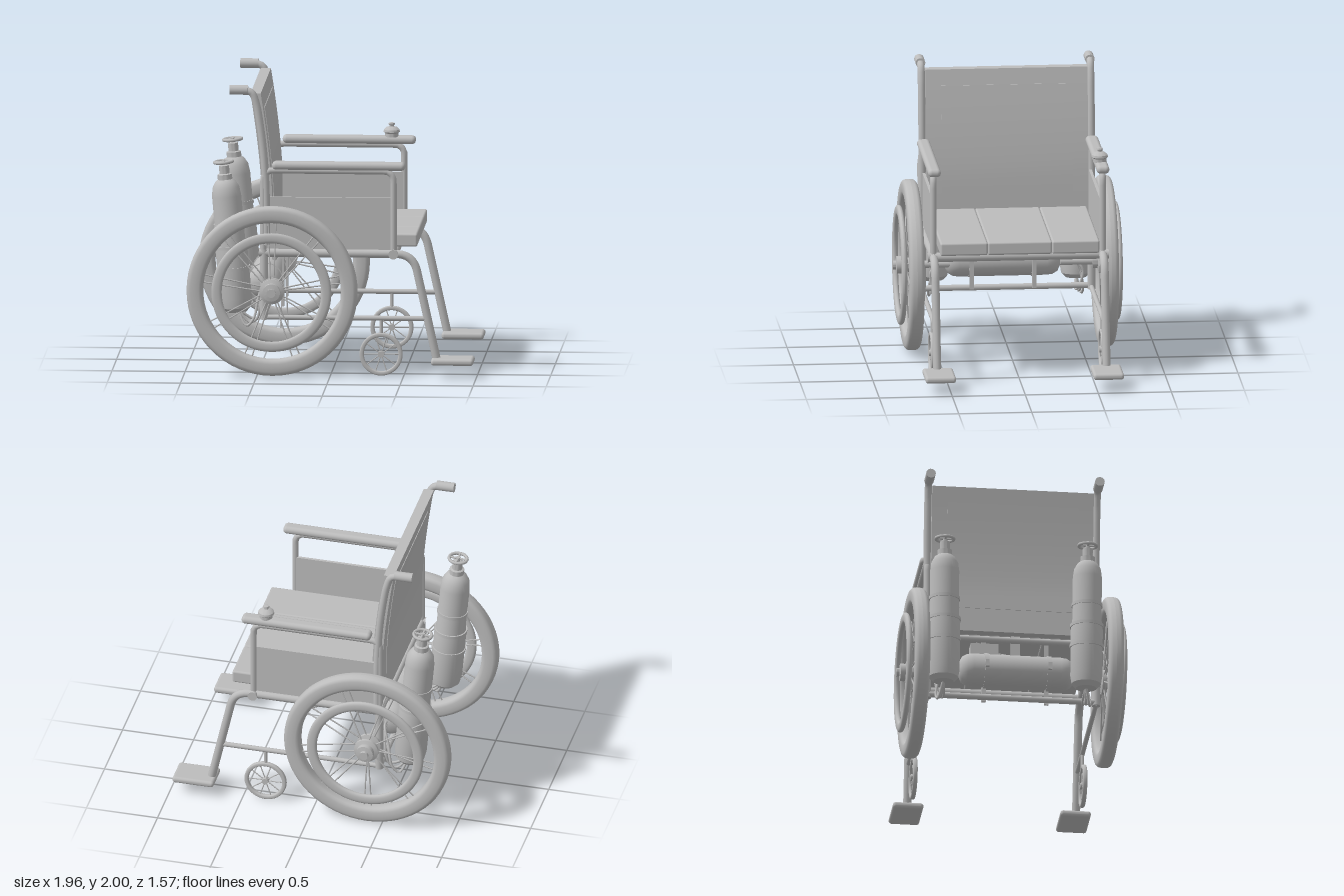
import * as THREE from 'three';
import { toCreasedNormals } from 'three/addons/utils/BufferGeometryUtils.js';
import { RoundedBoxGeometry } from 'three/addons/geometries/RoundedBoxGeometry.js';

const grey = new THREE.MeshStandardMaterial({ color: 0xbcbcbc });
grey.name = 'grey';

const V = (x, y, z) => new THREE.Vector3(x, y, z);

function add(parent, name, geometry, x = 0, y = 0, z = 0) {
  const m = new THREE.Mesh(geometry, grey);
  m.name = name;
  m.position.set(x, y, z);
  parent.add(m);
  return m;
}

// Straight rod between two points
function rod(parent, name, a, b, r, sides = 14) {
  const m = add(parent, name, new THREE.CylinderGeometry(r, r, a.distanceTo(b), sides));
  m.position.copy(a).add(b).multiplyScalar(0.5);
  m.quaternion.setFromUnitVectors(V(0, 1, 0), b.clone().sub(a).normalize());
  return m;
}

// Bent pipe: straight runs joined by rounded corners
function pipe(parent, name, pts, r, bend = 0.1) {
  const path = new THREE.CurvePath();
  let from = pts[0];
  for (let i = 1; i < pts.length - 1; i++) {
    const p = pts[i];
    const a = p.clone().add(pts[i - 1].clone().sub(p).setLength(bend));
    const b = p.clone().add(pts[i + 1].clone().sub(p).setLength(bend));
    path.add(new THREE.LineCurve3(from, a));
    path.add(new THREE.QuadraticBezierCurve3(a, p, b));
    from = b;
  }
  path.add(new THREE.LineCurve3(from, pts[pts.length - 1]));
  return add(parent, name, new THREE.TubeGeometry(path, 70, r, 12));
}

const hose = (parent, name, pts, r) =>
  add(parent, name, new THREE.TubeGeometry(new THREE.CatmullRomCurve3(pts), 28, r, 8));

const lathe = (pts, seg = 32) =>
  toCreasedNormals(new THREE.LatheGeometry(pts.map(p => new THREE.Vector2(...p)), seg), 0.6);

// Ring around y with a rounded-square section
function ring(inner, outer, half, seg = 64, power = 0.65) {
  const pts = [];
  for (let i = 0; i <= 20; i++) {
    const t = i / 20 * Math.PI * 2, c = Math.cos(t), s = Math.sin(t);
    pts.push(new THREE.Vector2(
      (inner + outer) / 2 + (outer - inner) / 2 * Math.sign(c) * Math.abs(c) ** power,
      half * Math.sign(s) * Math.abs(s) ** power));
  }
  return new THREE.LatheGeometry(pts, seg);
}

function spokes(parent, count, r0, r1, y0, y1, r, skew) {
  for (let i = 0; i < count; i++) {
    const a = i / count * Math.PI * 2, b = a + (i % 2 ? skew : -skew), y = i % 2 ? y0 : -y0;
    rod(parent, 'spoke', V(Math.cos(a) * r0, y, Math.sin(a) * r0),
      V(Math.cos(b) * r1, y1, Math.sin(b) * r1), r, 6);
  }
}

function wheelGroup(root, name, x, y, z, s) {
  const g = new THREE.Group();
  g.name = name;
  g.position.set(x, y, z * s);
  g.rotation.x = s * Math.PI / 2;
  root.add(g);
  return g;
}

// Front line of the backrest, sloping backwards towards the top
const backX = y => -0.40 - 0.08 * Math.max(0, (y - 1.2) / 0.74) ** 1.5;

function backSlab(y0, y1, depth, front, back) {
  const pts = [], n = 12;
  for (let i = 0; i <= n; i++) {
    const y = y0 + (y1 - y0) * i / n;
    pts.push(new THREE.Vector2(backX(y) + front, y));
  }
  for (let i = n; i >= 0; i--) {
    const y = y0 + (y1 - y0) * i / n;
    pts.push(new THREE.Vector2(backX(y) - back, y));
  }
  const g = new THREE.ExtrudeGeometry(new THREE.Shape(pts), { depth, bevelEnabled: false });
  g.translate(0, 0, -depth / 2);
  return toCreasedNormals(g, 0.5);
}

function buildSide(root, s) {
  const z = 0.58 * s;

  // Drive wheel, hand rim and hub
  const w = wheelGroup(root, 'driveWheel', -0.395, 0.595, 0.665, s);
  add(w, 'tyre', ring(0.47, 0.585, 0.053));
  add(w, 'handRim', ring(0.34, 0.41, 0.02, 64, 0.8), 0, 0.073, 0);
  spokes(w, 18, 0.06, 0.48, 0.03, 0, 0.005, 0.12);
  add(w, 'hub', lathe([[0, -0.085], [0.05, -0.085], [0.05, -0.05], [0.085, -0.04], [0.085, -0.02],
    [0.05, -0.01], [0.05, 0.02], [0.085, 0.03], [0.085, 0.05], [0.06, 0.06], [0.06, 0.095],
    [0.03, 0.1], [0.03, 0.12], [0, 0.12]]));
  rod(root, 'axle', V(-0.395, 0.595, 0.36 * s), V(-0.395, 0.595, 0.62 * s), 0.025);

  // Caster
  const c = wheelGroup(root, 'caster', 0.345, 0.153, 0.583, s);
  add(c, 'casterTyre', ring(0.118, 0.148, 0.016, 40));
  add(c, 'casterHub', new THREE.CylinderGeometry(0.022, 0.022, 0.04, 16));
  spokes(c, 10, 0.01, 0.122, 0.004, 0, 0.004, 0);
  rod(root, 'casterStem', V(0.345, 0.29, z), V(0.345, 0.4, z), 0.012);

  // Frame tubes
  pipe(root, 'seatRailAndLeg', [V(-0.49, 0.845, z), V(0.565, 0.845, z), V(0.725, 0.12, z)], 0.028, 0.12);
  pipe(root, 'armFrame', [V(-0.46, 0.4, z), V(-0.46, 1.415, z), V(0.43, 1.415, z), V(0.43, 0.845, z)], 0.022, 0.07);
  rod(root, 'rearPost', V(-0.455, 0.385, z), V(-0.455, 0.87, z), 0.028);
  rod(root, 'lowerRail', V(-0.47, 0.4, z), V(0.66, 0.4, z), 0.017);
  add(root, 'backCane', new THREE.TubeGeometry(new THREE.CatmullRomCurve3([V(-0.44, 0.9, z),
    V(-0.44, 1.2, z), V(-0.455, 1.5, z), V(-0.485, 1.75, z), V(-0.51, 1.88, z), V(-0.54, 1.95, z),
    V(-0.6, 1.967, z), V(-0.66, 1.967, z)]), 50, 0.025, 12));
  rod(root, 'handGrip', V(-0.69, 1.968, z), V(-0.565, 1.968, z), 0.033, 18);

  // Arm pad, skirt panel and footplate
  add(root, 'armPad', new RoundedBoxGeometry(0.91, 0.056, 0.088, 4, 0.027), 0.055, 1.45, 0.577 * s);
  add(root, 'skirtPanel', new THREE.BoxGeometry(0.88, 0.37, 0.02), -0.01, 1.045, 0.57 * s);
  add(root, 'footplate', new RoundedBoxGeometry(0.29, 0.045, 0.21, 3, 0.02), 0.835, 0.112, 0.575 * s);

  // Upright gas bottle, leaning back slightly
  const b = new THREE.Group();
  b.name = 'gasBottle';
  b.position.set(-0.645, 0.425, 0.49 * s);
  b.rotation.z = 0.09;
  root.add(b);
  add(b, 'bottleBody', lathe([[0, 0], [0.07, 0], [0.1, 0.03], [0.11, 0.09], [0.11, 0.42], [0.1, 0.5],
    [0.1, 0.8], [0.092, 0.86], [0.07, 0.9], [0.05, 0.915], [0.05, 0.95], [0.035, 0.955],
    [0.035, 1.01], [0.014, 1.015], [0.014, 1.045], [0, 1.045]]));
  for (const [y, r] of [[0.3, 0.118], [0.45, 0.114], [0.6, 0.106]])
    add(b, 'bottleBand', new THREE.CylinderGeometry(r, r, 0.022, 32), 0, y, 0);
  const valve = add(b, 'valveWheel', new THREE.TorusGeometry(0.062, 0.011, 8, 28), 0, 1.035, 0);
  valve.rotation.x = Math.PI / 2;
  for (let i = 0; i < 2; i++) {
    const a = i * Math.PI / 2, x = Math.cos(a) * 0.06, q = Math.sin(a) * 0.06;
    rod(b, 'valveSpoke', V(-x, 1.035, -q), V(x, 1.035, q), 0.008, 8);
  }

  // Hoses between tank, hub and bottle
  for (let i = 0; i < 3; i++) {
    const d = i * 0.022;
    hose(root, 'hose', [V(-0.45, 0.62 - d, 0.36 * s), V(-0.46, 0.63 - d, 0.45 * s),
      V(-0.5 + d, 0.52, (0.5 + d / 2) * s), V(-0.53 + d, 0.38, (0.53 - d) * s),
      V(-0.58 + d, 0.33 + d, (0.52 - d) * s), V(-0.64, 0.44, 0.49 * s)], 0.009);
  }
}

export function createModel() {
  const root = new THREE.Group();
  root.name = 'wheelchair';
  for (const s of [1, -1]) buildSide(root, s);

  // Cross tubes
  rod(root, 'frontCrossTube', V(0.43, 0.845, -0.62), V(0.43, 0.845, 0.62), 0.033, 20);
  rod(root, 'rearCrossTube', V(-0.46, 0.845, -0.58), V(-0.46, 0.845, 0.58), 0.022);
  rod(root, 'lowerCrossTube', V(-0.46, 0.41, -0.58), V(-0.46, 0.41, 0.58), 0.021);

  // Seat of padded strips
  const edges = [-0.545, -0.22, 0.22, 0.545];
  for (let i = 0; i < 3; i++) {
    const a = edges[i], b = edges[i + 1];
    add(root, 'seatPad', new RoundedBoxGeometry(1.0, 0.09, b - a, 3, 0.014), 0.09, 0.934, (a + b) / 2);
  }

  // Backrest with a slightly raised centre field
  add(root, 'backrest', backSlab(0.9, 1.94, 1.11, 0, 0.07));
  add(root, 'backrestField', backSlab(1.07, 1.83, 0.9, 0.004, 0.074));

  // Transverse tank with hanging straps
  const tank = add(root, 'tank', lathe([[0, -0.4], [0.05, -0.395], [0.09, -0.375], [0.11, -0.34],
    [0.115, -0.3], [0.115, 0.3], [0.11, 0.34], [0.09, 0.375], [0.05, 0.395], [0, 0.4]], 36), -0.465, 0.605, 0.03);
  tank.rotation.x = Math.PI / 2;
  for (const z of [0.25, -0.18]) {
    const band = add(root, 'tankBand', new THREE.CylinderGeometry(0.121, 0.121, 0.03, 36), -0.465, 0.605, z);
    band.rotation.x = Math.PI / 2;
    add(root, 'tankHanger', new THREE.BoxGeometry(0.015, 0.47, 0.03), -0.345, 0.66, z);
    add(root, 'tankClip', new THREE.BoxGeometry(0.03, 0.05, 0.025), -0.588, 0.605, z);
  }

  // Regulator box and its feed pipe
  add(root, 'regulator', new THREE.BoxGeometry(0.1, 0.085, 0.19), -0.4, 0.775, -0.185);
  add(root, 'bracket', new THREE.BoxGeometry(0.03, 0.18, 0.06), -0.42, 0.8, 0.03);
  hose(root, 'feedPipe', [V(-0.42, 0.71, -0.02), V(-0.38, 0.76, -0.03), V(-0.36, 0.775, -0.06),
    V(-0.37, 0.775, -0.1)], 0.012);

  // Control knob on the right arm pad
  add(root, 'controlKnob', lathe([[0, 0], [0.045, 0], [0.045, 0.025], [0.056, 0.035], [0.053, 0.05],
    [0.035, 0.067], [0.015, 0.072], [0.015, 0.08], [0.022, 0.086], [0.02, 0.096], [0, 0.1]]), 0.345, 1.472, -0.567);
  return root;
}
